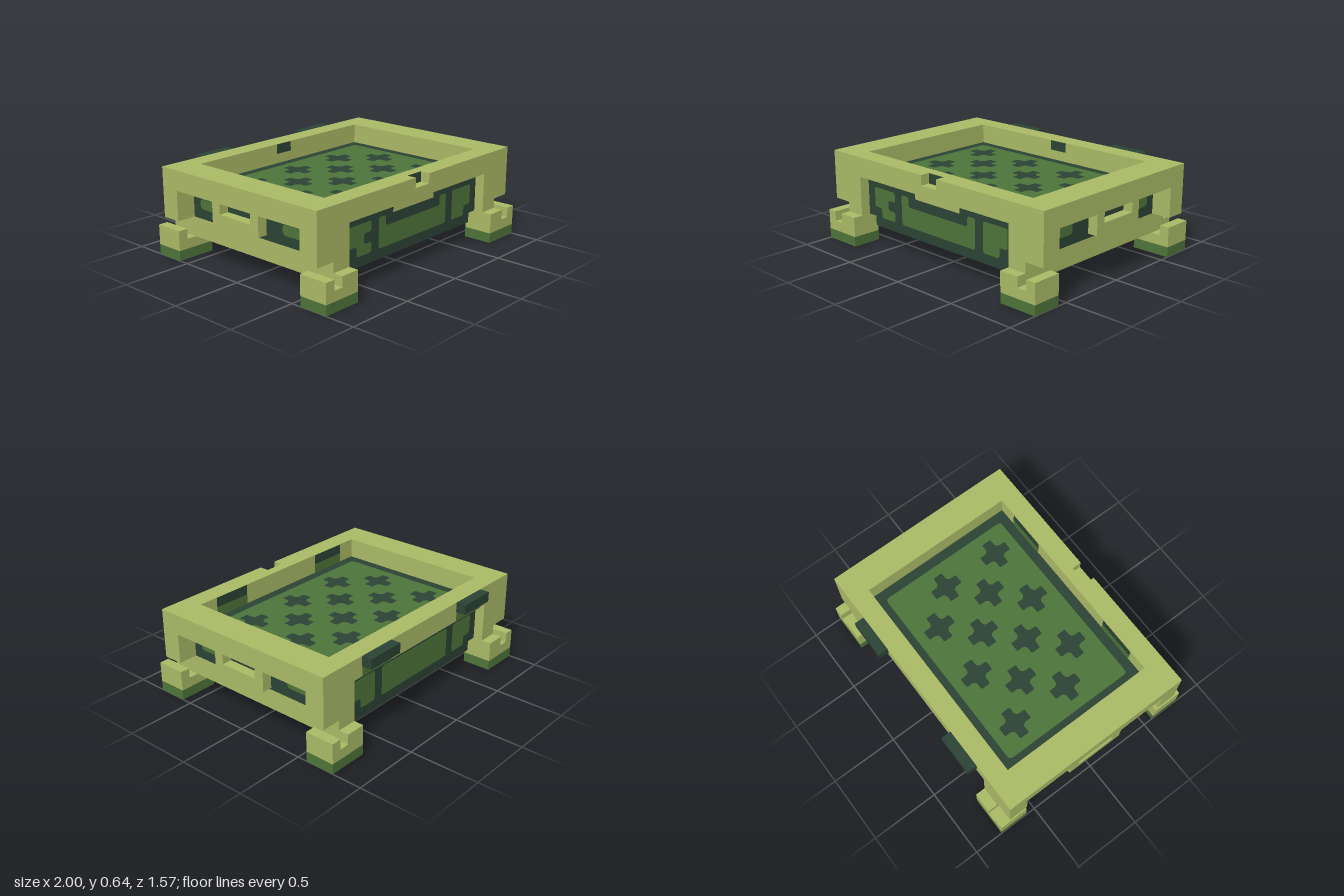
import * as THREE from 'three';

const U = 1 / 14; // one grid unit
const EPS = 0.05; // lift of painted plates, in units

const material = (name, color) => {
  const m = new THREE.MeshStandardMaterial({ color });
  m.name = name;
  return m;
};

// direction each painted face looks in
const FACES = {
  front: { r: [0, 0, 0], n: [0, 0, 1] },
  back: { r: [0, Math.PI, 0], n: [0, 0, -1] },
  right: { r: [0, Math.PI / 2, 0], n: [1, 0, 0] },
  left: { r: [0, -Math.PI / 2, 0], n: [-1, 0, 0] },
  top: { r: [-Math.PI / 2, 0, 0], n: [0, 1, 0] },
  bottom: { r: [Math.PI / 2, 0, 0], n: [0, -1, 0] },
};

const rect = (x0, y0, x1, y1) => [[x0, y0], [x1, y0], [x1, y1], [x0, y1]];
const mirrorX = (pts) => pts.map(([x, y]) => [-x, y]).reverse();

// polygon with rounded corners
function roundedShape(pts, radius) {
  const shape = new THREE.Shape();
  pts.forEach((p, i) => {
    const c = new THREE.Vector2(...p);
    const a = new THREE.Vector2(...pts[(i + pts.length - 1) % pts.length]);
    const b = new THREE.Vector2(...pts[(i + 1) % pts.length]);
    const from = c.clone().add(a.sub(c).setLength(radius));
    const to = c.clone().add(b.sub(c).setLength(radius));
    if (i === 0) shape.moveTo(from.x, from.y);
    else shape.lineTo(from.x, from.y);
    shape.quadraticCurveTo(c.x, c.y, to.x, to.y);
  });
  shape.closePath();
  return shape;
}

export function createModel() {
  const group = new THREE.Group();
  group.name = 'tray';
  const light = material('light olive', 0xabba66);
  const green = material('leaf green', 0x4e7439);
  const dark = material('dark green', 0x2c4335);

  // box from two opposite corners, in units
  const box = (name, mat, x0, y0, z0, x1, y1, z1) => {
    const w = Math.abs(x1 - x0), h = Math.abs(y1 - y0), d = Math.abs(z1 - z0);
    const mesh = new THREE.Mesh(new THREE.BoxGeometry(w * U, h * U, d * U), mat);
    mesh.position.set((x0 + x1) / 2, (y0 + y1) / 2, (z0 + z1) / 2).multiplyScalar(U);
    mesh.name = name;
    group.add(mesh);
  };

  // flat painted shape on a face; offset is measured along the face normal
  const paint = (name, mat, pts, face, offset, radius = 0, lift = EPS) => {
    const shape = radius ? roundedShape(pts, radius)
      : new THREE.Shape(pts.map((p) => new THREE.Vector2(...p)));
    const mesh = new THREE.Mesh(new THREE.ShapeGeometry(shape, 3), mat);
    const { r, n } = FACES[face];
    mesh.rotation.set(...r);
    mesh.position.set(...n).multiplyScalar((offset + lift) * U);
    mesh.scale.setScalar(U);
    mesh.name = name;
    group.add(mesh);
  };

  // inner body
  box('bodyLong', dark, -10, 3, -9, 10, 7, 9);
  box('bodyWide', dark, -12, 4, -8, 12, 7, 8);
  box('bodyBase', dark, -9, 2, -9, 9, 3, 9);
  paint('baseUnderside', green, rect(-9, -9, 9, 9), 'bottom', -2);
  paint('baseSideRight', light, rect(-9, 2, 9, 3), 'right', 9);
  paint('baseSideLeft', light, rect(-9, 2, 9, 3), 'left', 9);

  // upper rim, with a catch notch in the front
  box('rimFrontInner', light, -14, 7, 8, 14, 9, 9);
  box('rimFrontLower', light, -14, 7, 9, 14, 8, 10);
  box('rimBack', light, -14, 7, -10, 14, 9, -8);
  for (const s of [1, -1]) {
    box('rimFrontUpper', light, s, 8, 9, s * 14, 9, 10);
    box('rimSide', light, s * 11, 7, -8, s * 14, 9, 8);
  }
  paint('catchPlate', dark, rect(-1, 8, 1, 9), 'front', 9);
  paint('catchMark', dark, rect(-1, 8, 1, 9), 'front', -8);

  for (const s of [1, -1]) {
    // rails under the sides
    box('sideRail', light, s * 10, 2, -10, s * 12, 4, 10);
    paint('railUnderside', green, rect(s > 0 ? 10 : -12, -8, s > 0 ? 12 : -10, 8), 'bottom', -2);

    // side handles
    box('handleGrip', light, s * 13, 5, -3, s * 14, 6, 3);
    for (const t of [1, -1]) {
      box('handleArm', light, s * 13, 6, t * 2, s * 14, 7, t * 3);
      const slot = t > 0 ? rect(4, 5, 7, 6) : rect(-7, 5, -4, 6);
      paint('sidePanel', green, slot, s > 0 ? 'right' : 'left', 12, 0.4);

      // corner posts and feet
      box('cornerPost', light, s * 10, 4, t * 8, s * 14, 7, t * 10);
      const [x0, x1] = s > 0 ? [12, 14] : [-14, -12];
      const [y0, y1] = t > 0 ? [8, 10] : [-10, -8];
      paint('postUnderside', green, rect(x0, y0, x1, y1), 'bottom', -4);
      box('footSole', green, s * 10, 0, t * 8, s * 14, 1, t * 11);
      box('footBlock', light, s * 10, 1, t * 8, s * 14, 2, t * 11);
      box('footInnerStep', light, s * 10, 2, t * 8, s * 12, 3, t * 11);
      box('footOuterLip', light, s * 13, 2, t * 8, s * 14, 3, t * 11);
    }

    // hinges and their marks
    box('hinge', dark, s * 5, 8, -11, s * 9, 9, -10);
    const [h0, h1] = s > 0 ? [5, 9] : [-9, -5];
    paint('hingeShadePlate', green, rect(h0, 7, h1, 8), 'back', 10);
    paint('innerHingeMark', dark, rect(h0, 8, h1, 9), 'back', -8);
    paint('innerHingePlate', green, rect(h0, 7, h1, 8), 'back', -8);
  }

  // front and back panels
  const outer = [[6, 3], [8, 3], [8, 4], [9, 4], [9, 6], [6, 6]];
  const notched = [[-8, 3], [-6, 3], [-6, 4], [-7, 4], [-7, 5], [-6, 5], [-6, 6], [-9, 6], [-9, 4], [-8, 4]];
  const centre = [[-5, 3], [5, 3], [5, 6], [4, 6], [4, 5], [-4, 5], [-4, 6], [-5, 6]];
  paint('frontPanelRight', green, outer, 'front', 9, 0.25);
  paint('frontPanelLeft', green, notched, 'front', 9, 0.25);
  paint('frontPanelCentre', green, centre, 'front', 9, 0.25);
  paint('frontTab', light, rect(-3, 6, 3, 7), 'front', 9);
  paint('backPanelRight', green, outer, 'back', 9, 0.25);
  paint('backPanelLeft', green, mirrorX(outer), 'back', 9, 0.25);
  paint('backPanelCentre', green, rect(-5, 3, 5, 6), 'back', 9, 0.25);

  // tray floor with staggered crosses
  paint('floor', green, rect(-10, -7, 10, 7), 'top', 7, 0.4);
  const quarter = [[1.5, -0.5], [1.5, 0.5], [0.75, 0.5], [0.5, 0.75]];
  for (let row = 0; row < 4; row++) {
    for (let col = 0; col < 3; col++) {
      const cx = -7.5 + col * 6 + (row % 2) * 3;
      const cy = 4.5 - row * 3;
      const pts = [];
      let q = quarter;
      for (let k = 0; k < 4; k++) {
        pts.push(...q.map(([x, y]) => [x + cx, y + cy]));
        q = q.map(([x, y]) => [-y, x]);
      }
      paint('floorCross', dark, pts, 'top', 7, 0.15, EPS * 2);
    }
  }
  return group;
}
